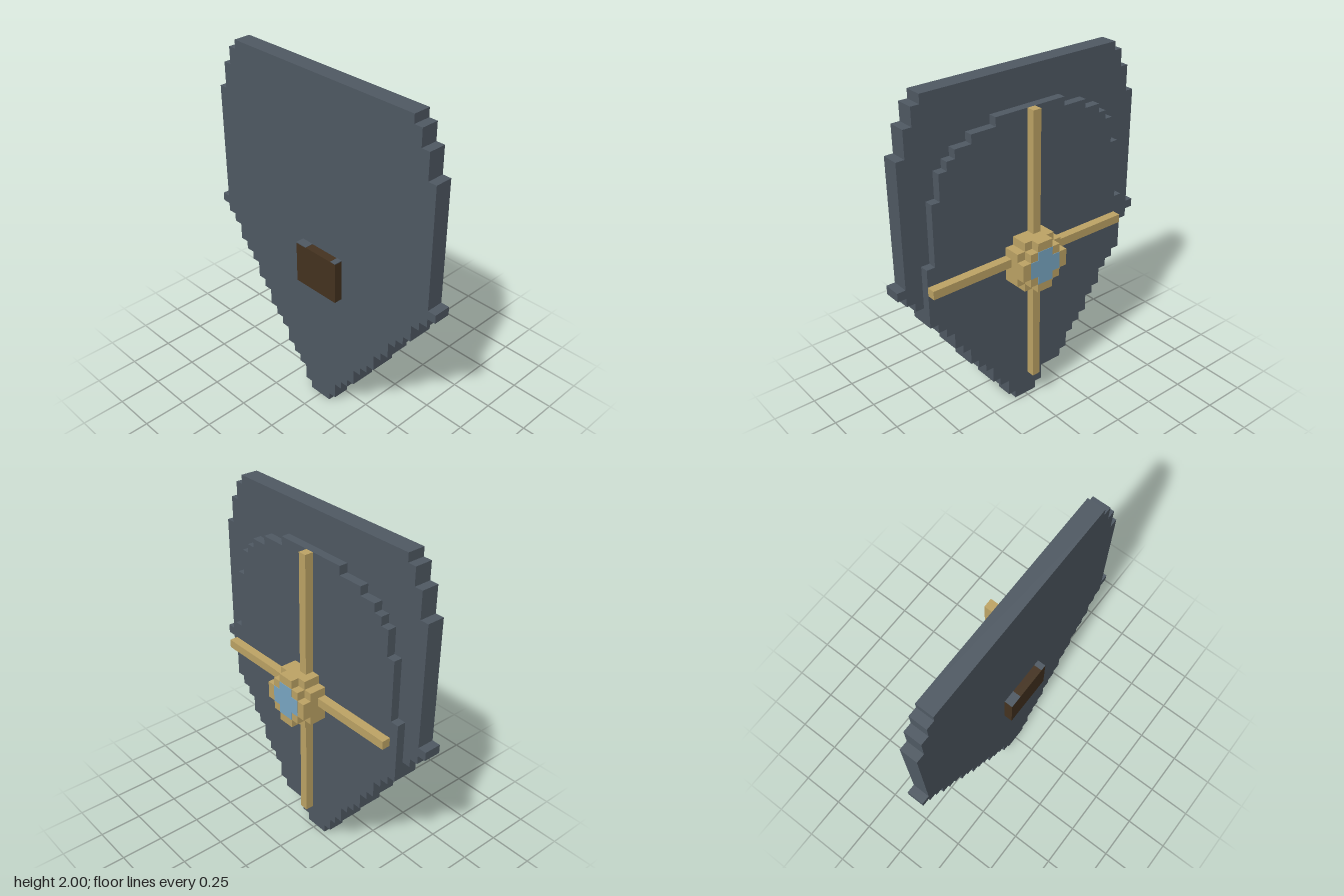
import * as THREE from 'three';

const U = 2 / 41; // one block

const mat = (name, color) => {
  const m = new THREE.MeshStandardMaterial({ color });
  m.name = name;
  return m;
};

// Stepped slab facing +x. steps = [half width, number of rows] from the bottom up, in blocks.
function slab(name, material, steps, y0, x0, x1, zc = 0) {
  const right = [], left = [];
  let y = y0;
  for (const [w, rows] of steps) {
    right.push(new THREE.Vector2(w * U, y * U), new THREE.Vector2(w * U, (y + rows) * U));
    left.unshift(new THREE.Vector2(-w * U, (y + rows) * U), new THREE.Vector2(-w * U, y * U));
    y += rows;
  }
  const geo = new THREE.ExtrudeGeometry(new THREE.Shape([...right, ...left]), {
    depth: (x1 - x0) * U, bevelEnabled: false,
  });
  geo.rotateY(Math.PI / 2).translate(x0 * U, 0, zc * U);
  const mesh = new THREE.Mesh(geo, material);
  mesh.name = name;
  return mesh;
}

// Box from its limits in blocks
function block(name, material, x0, x1, y0, y1, z0, z1) {
  const geo = new THREE.BoxGeometry((x1 - x0) * U, (y1 - y0) * U, (z1 - z0) * U);
  geo.translate((x0 + x1) / 2 * U, (y0 + y1) / 2 * U, (z0 + z1) / 2 * U);
  const mesh = new THREE.Mesh(geo, material);
  mesh.name = name;
  return mesh;
}

export function createModel() {
  const slate = mat('slate', 0x505a64);
  const gold = mat('gold', 0xbfa566);
  const blue = mat('gem blue', 0x7ba9c6);
  const brown = mat('leather brown', 0x453320);
  const g = new THREE.Group();
  g.name = 'shield';

  // Back plate and the smaller raised plate, tapering to the point below
  g.add(slab('backPlate', slate, [
    [1.5, 1], [2.5, 2], [3.5, 1], [4.5, 1], [5.5, 2], [6.5, 1], [7.5, 1], [8.5, 2],
    [9.5, 1], [10.5, 2], [11.5, 1], [12.5, 1], [13.5, 2], [14.5, 1], [15.5, 1],
    [16.5, 1], [15.5, 14], [14.5, 3], [13.5, 2], [12.5, 1],
  ], 0, -2.5, -0.5));
  g.add(slab('raisedPlate', slate, [
    [4.5, 1], [5.5, 2], [6.5, 1], [7.5, 1], [8.5, 2], [9.5, 1], [10.5, 2], [11.5, 1],
    [12.5, 1], [13.5, 7], [12.5, 7], [11.5, 3], [10.5, 1], [9.5, 1], [7.5, 1], [4.5, 1],
  ], 4, -0.5, 0.5));

  // Crossed ribs
  g.add(block('verticalRib', gold, 0.5, 1.5, 4, 37, -0.5, 0.5));
  g.add(block('horizontalRib', gold, 0.5, 1.5, 20, 21, -12.5, 13.5));

  // Rounded boss with a gem set in its face
  g.add(slab('bossBase', gold, [[2, 1], [3, 4], [2, 1]], 17, 0.5, 2.5, 0.5));
  g.add(slab('bossFace', gold, [[1, 1], [2, 1], [3, 2], [2, 1], [1, 1]], 17, 2.5, 3.5, 0.5));
  g.add(slab('gem', blue, [[1, 1], [2, 2], [1, 1]], 18, 3.44, 3.54, 0.5));

  // Grip on the back, with small plates on the top ends
  g.add(block('grip', brown, -3.5, -2.5, 16, 21, -2.5, 3.5));
  for (const [z0, z1] of [[-2.5, -1], [2.8, 3.5]]) {
    g.add(block('gripEndPlate', slate, -3.5, -2.5, 20.95, 21.05, z0, z1));
  }
  return g;
}
